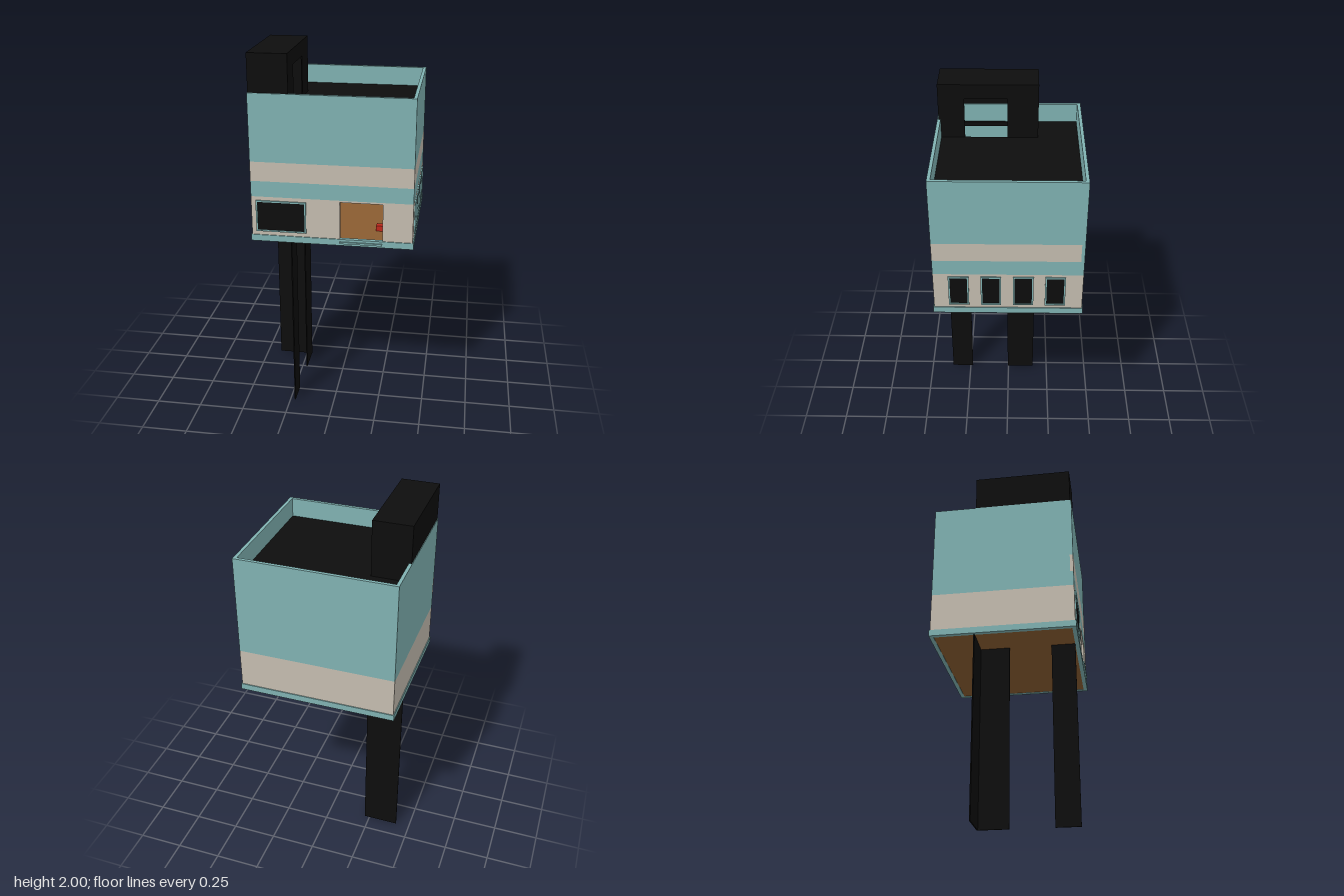
import * as THREE from 'three';

const mat = (color) => new THREE.MeshStandardMaterial({ color });

export function createModel() {
  const root = new THREE.Group();
  const teal = mat(0x80b2b2), beige = mat(0xc5bdb0), black = mat(0x0d0d0d);
  const brown = mat(0x8a5c30), red = mat(0xc0281c);

  // Box given by its extents on each axis
  function box(name, m, x0, x1, y0, y1, z0, z1, parent = root) {
    const mesh = new THREE.Mesh(new THREE.BoxGeometry(x1 - x0, y1 - y0, z1 - z0), m);
    mesh.position.set((x0 + x1) / 2, (y0 + y1) / 2, (z0 + z1) / 2);
    mesh.name = name;
    parent.add(mesh);
    return mesh;
  }

  // Outer walls, stacked in coloured bands; door gap in the lower front band
  const L = -0.43, R = 0.425, F = 0.382, B = -0.395, T = 0.018;
  const door = { x0: 0.042, x1: 0.267, top: 1.24 };
  const bands = [
    { y0: 1.035, y1: 1.25, front: beige, back: beige, gap: true },
    { y0: 1.25, y1: 1.335, front: teal, back: teal },
    { y0: 1.335, y1: 1.44, front: beige, back: teal },
    { y0: 1.44, y1: 1.8, front: teal, back: teal },
  ];
  const walls = new THREE.Group();
  walls.name = 'walls';
  root.add(walls);
  for (const { y0, y1, front, back, gap } of bands) {
    box('backWall', back, L, R, y0, y1, B, B + T, walls);
    box('leftSideWall', back, L, L + T, y0, y1, B + T, F - T, walls);
    box('rightSideWall', front, R - T, R, y0, y1, B + T, F - T, walls);
    if (gap) {
      box('frontWall', front, L, door.x0, y0, y1, F - T, F, walls);
      box('frontWall', front, door.x1, R, y0, y1, F - T, F, walls);
      box('doorLintel', front, door.x0, door.x1, door.top, y1, F - T, F, walls);
    } else box('frontWall', front, L, R, y0, y1, F - T, F, walls);
  }

  // Plinth around the base
  const P = 0.005;
  box('plinthFront', teal, L - P, R + P, 1, 1.035, F - T, F + P);
  box('plinthBack', teal, L - P, R + P, 1, 1.035, B - P, B + T);
  box('plinthLeft', teal, L - P, L + T, 1, 1.035, B + T, F - T);
  box('plinthRight', teal, R - T, R + P, 1, 1.035, B + T, F - T);

  // Floor, dark interior and sunken roof with a stairwell opening
  box('floor', brown, L + T, R - T, 1.002, 1.02, B + T, F - T);
  box('innerBackWall', black, -0.21, R - T, 1.02, 1.68, B + T, B + T + 0.004);
  box('innerRightWall', black, R - T - 0.004, R - T, 1.02, 1.68, B + T, F - T);
  box('ceiling', black, -0.215, R - T, 1.28, 1.29, B + T, F - T);
  box('roof', black, -0.225, R - T, 1.68, 1.695, B + T, F - T);
  box('roofBack', black, L + T, -0.225, 1.68, 1.695, B + T, -0.16);
  box('roofLedge', black, L + T, L + T + 0.01, 1.67, 1.695, -0.16, F - T);
  box('redBlock', red, 0.215, 0.255, 1.02, 1.05, 0.17, 0.21);

  // Stair tower: thin panels, two sides reaching the ground
  const tower = new THREE.Group();
  tower.name = 'stairTower';
  root.add(tower);
  const tx0 = -0.42, tx1 = -0.22, tz0 = -0.16, tz1 = 0.365, t = 0.006;
  box('towerBackPanel', black, tx0, tx1, 0, 2, tz0, tz0 + t, tower);
  box('towerRearSidePanel', black, tx1 - t, tx1, 0, 2, tz0, 0.005, tower);
  box('towerFrontSidePanel', black, tx1 - t, tx1, 0, 2, 0.235, tz1, tower);
  box('towerDoorHeader', black, tx1 - t, tx1, 1.92, 2, 0.005, 0.235, tower);
  box('towerLeftPanel', black, -0.427, -0.417, 1.795, 2, tz0, 0.375, tower);
  box('towerFrontPanel', black, -0.427, tx1, 1.695, 2, tz1, 0.375, tower);
  box('towerRoof', black, -0.427, tx1, 1.992, 2, tz0, 0.375, tower);

  // Window built facing +z: dark pane with four frame bars
  function makeWindow(name, w, h) {
    const g = new THREE.Group();
    g.name = name;
    const f = 0.008, d = 0.007;
    box('pane', black, -w / 2, w / 2, -h / 2, h / 2, -0.002, 0.002, g);
    for (const s of [-1, 1]) {
      const x = s * w / 2, y = s * h / 2;
      box('frameSide', teal, x - f / 2, x + f / 2, -h / 2 - f / 2, h / 2 + f / 2, -0.002, d, g);
      box('frameRail', teal, -w / 2 + f / 2, w / 2 - f / 2, y - f / 2, y + f / 2, -0.002, d, g);
    }
    root.add(g);
    return g;
  }
  makeWindow('frontWindow', 0.26, 0.165).position.set(-0.271, 1.143, F);
  for (const z of [0.25, 0.082, -0.086, -0.252]) {
    const w = makeWindow('sideWindow', 0.098, 0.173);
    w.position.set(R, 1.146, z);
    w.rotation.y = Math.PI / 2;
  }

  // Door step
  box('doorStep', teal, door.x0, door.x1, 1.012, 1.022, F, 0.395);
  return root;
}
